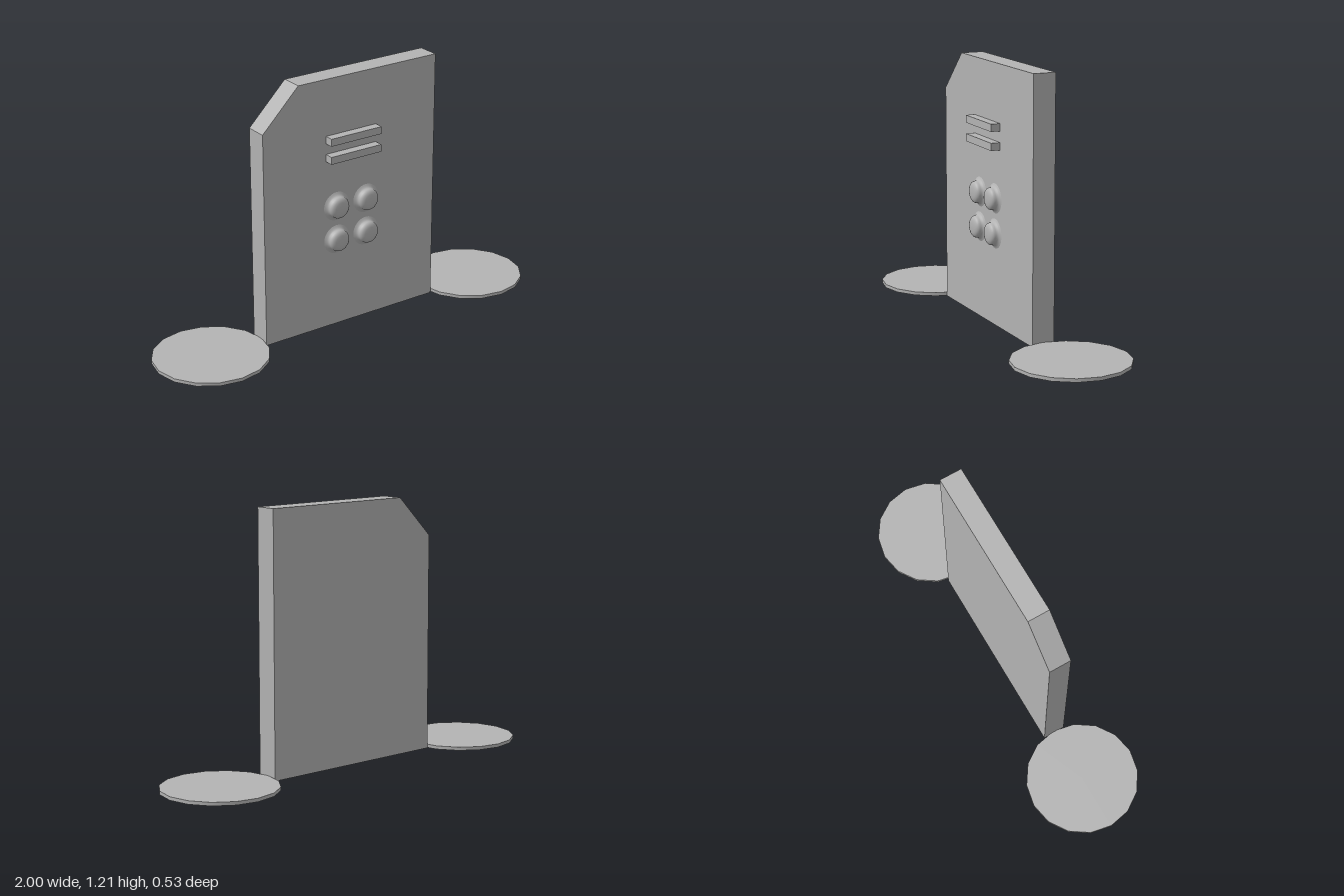
import * as THREE from 'three';

export function createModel() {
  const group = new THREE.Group();
  const grey = new THREE.MeshStandardMaterial({ color: 0xb3b3b3 });
  grey.name = 'plainGrey';

  const add = (name, geometry, x, y, z) => {
    const mesh = new THREE.Mesh(geometry, grey);
    mesh.name = name;
    mesh.position.set(x, y, z);
    group.add(mesh);
    return mesh;
  };

  // Upright slab with one clipped top corner
  const depth = 0.106;
  const front = depth / 2;
  const outline = new THREE.Shape([
    [-0.47, 0], [0.467, 0], [0.467, 1.21], [-0.283, 1.21], [-0.47, 1.023],
  ].map(([x, y]) => new THREE.Vector2(x, y)));
  add('bodyPanel', new THREE.ExtrudeGeometry(outline, { depth, bevelEnabled: false }), 0, 0, -front);

  // Sixteen-sided foot discs
  const foot = new THREE.CylinderGeometry(0.267, 0.267, 0.016, 16);
  for (const [name, side] of [['leftFoot', 1], ['rightFoot', -1]]) {
    add(name, foot, side * 0.733, 0.008, 0);
  }

  // Two raised bars
  const bar = new THREE.BoxGeometry(0.273, 0.035, 0.044);
  [0.926, 0.84].forEach((y, i) => add(`bar${i + 1}`, bar, -0.003, y, front + 0.022));

  // Four domed buttons with a flared base
  const profile = [
    [0.069, 0], [0.063, 0.003], [0.057, 0.007], [0.053, 0.012], [0.0515, 0.018],
    [0.051, 0.024], [0.048, 0.031], [0.041, 0.037], [0.03, 0.041], [0.015, 0.0425], [0, 0.043],
  ].map(([r, h]) => new THREE.Vector2(r, h));
  const button = new THREE.LatheGeometry(profile, 32);
  button.rotateX(Math.PI / 2);
  for (const [row, y] of [['upper', 0.593], ['lower', 0.43]]) {
    for (const [side, x] of [['Left', 0.08], ['Right', -0.082]]) {
      add(`${row}${side}Button`, button, x, y, front);
    }
  }

  return group;
}
